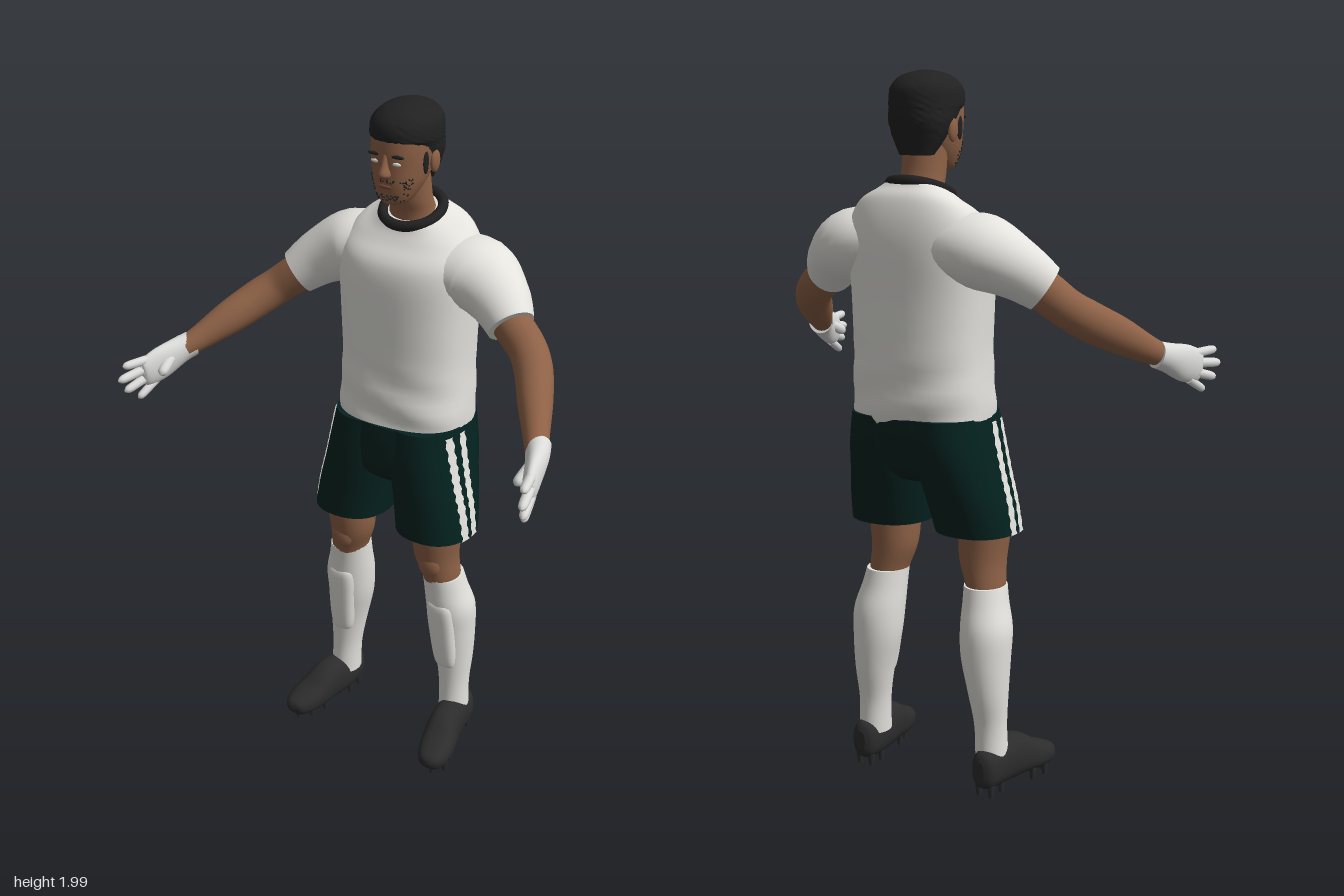
import * as THREE from 'three';
import { mergeGeometries } from 'three/addons/utils/BufferGeometryUtils.js';

const V = (x, y, z) => new THREE.Vector3(x, y, z);
const UP = V(0, 1, 0), SIDE = V(1, 0, 0);

// Smooth interpolation through rows of numbers
function sample(rows, t) {
  const f = t * (rows.length - 1), i = Math.min(Math.floor(f), rows.length - 2), s = f - i;
  const row = k => rows[Math.max(0, Math.min(rows.length - 1, k))];
  const [a, b, c, d] = [row(i - 1), row(i), row(i + 1), row(i + 2)];
  return b.map((_, k) => b[k] + 0.5 * s * (c[k] - a[k] +
    s * (2 * a[k] - 5 * b[k] + 4 * c[k] - d[k] + s * (3 * (b[k] - c[k]) + d[k] - a[k]))));
}

const pw = (v, n) => Math.sign(v) * Math.abs(v) ** (2 / n);

// Loft of rounded sections [x, y, z, radiusU, radiusV]; rings are level, or follow the path if ref is given
function loft(rows, { ref = null, n = 2, seg = 28, steps = 5, bend = null } = {}) {
  const count = (rows.length - 1) * steps, pos = [], idx = [];
  const at = t => { const r = sample(rows, t); return V(r[0], r[1], r[2]); };
  for (let i = 0; i <= count; i++) {
    const t = i / count, r = sample(rows, t), c = at(t);
    const d = ref ? at(Math.min(1, t + 0.01)).sub(at(Math.max(0, t - 0.01))).normalize() : UP;
    const u = (ref || SIDE).clone().addScaledVector(d, -d.dot(ref || SIDE)).normalize();
    const v = d.clone().cross(u);
    for (let j = 0; j < seg; j++) {
      const a = j / seg * Math.PI * 2;
      const p = c.clone().addScaledVector(u, Math.max(r[3], 0.001) * pw(Math.cos(a), n))
        .addScaledVector(v, Math.max(r[4], 0.001) * pw(Math.sin(a), n));
      if (bend) bend(p);
      pos.push(p.x, p.y, p.z);
      const k = i * seg + j, m = i * seg + (j + 1) % seg;
      if (i < count) idx.push(k, m, k + seg, m, m + seg, k + seg);
    }
  }
  // End caps with their own vertices
  for (const end of [0, count]) {
    const base = pos.length / 3, mid = V(0, 0, 0);
    for (let j = 0; j < seg; j++) {
      const p = V(...pos.slice((end * seg + j) * 3, (end * seg + j) * 3 + 3));
      mid.addScaledVector(p, 1 / seg);
      pos.push(p.x, p.y, p.z);
    }
    pos.push(mid.x, mid.y, mid.z);
    for (let j = 0; j < seg; j++) {
      const a = base + j, b = base + (j + 1) % seg;
      idx.push(...(end ? [a, b, base + seg] : [b, a, base + seg]));
    }
  }
  const g = new THREE.BufferGeometry();
  g.setAttribute('position', new THREE.Float32BufferAttribute(pos, 3));
  g.setIndex(idx);
  g.computeVertexNormals();
  return g;
}

function mirrored(geo) {
  const g = geo.clone().scale(-1, 1, 1), ix = g.index.array;
  for (let i = 0; i < ix.length; i += 3) [ix[i], ix[i + 1]] = [ix[i + 1], ix[i]];
  g.computeVertexNormals();
  return g;
}

const ball = (x, y, z, a, b, c) => new THREE.SphereGeometry(1, 20, 14).scale(a, b, c).translate(x, y, z);

export function createModel() {
  const group = new THREE.Group();
  const mat = (name, color, side = THREE.FrontSide) => {
    const m = new THREE.MeshStandardMaterial({ color, side });
    m.name = name;
    return m;
  };
  const white = mat('white cloth', 0xe3e2dd, THREE.DoubleSide), skin = mat('skin', 0x8d6146);
  const green = mat('dark green cloth', 0x04221f), black = mat('black hair', 0x212121);
  const boot = mat('boot leather', 0x2c2c2d), glove = mat('glove', 0xdadad9), lip = mat('lips', 0x74493a);
  const add = (name, geo, m) => {
    const mesh = new THREE.Mesh(geo, m);
    mesh.name = name;
    group.add(mesh);
  };
  const pair = (name, geo, m) => {
    add(name + 'Left', geo, m);
    add(name + 'Right', mirrored(geo), m);
  };

  // Shirt, with folds near the hem and a neckline that dips at the front
  add('shirt', loft([
    [0, 1.06, -0.175, 0.195, 0.15], [0, 1.12, -0.178, 0.197, 0.152], [0, 1.25, -0.183, 0.192, 0.148],
    [0, 1.4, -0.183, 0.198, 0.146], [0, 1.52, -0.187, 0.205, 0.145], [0, 1.585, -0.195, 0.2, 0.132],
    [0, 1.635, -0.2, 0.168, 0.108], [0, 1.665, -0.197, 0.118, 0.086], [0, 1.685, -0.195, 0.086, 0.076],
  ], {
    n: 2.5, seg: 48, bend: p => {
      p.z += 0.004 * Math.sin(55 * p.y + 14 * p.x) * THREE.MathUtils.smoothstep(1.32 - p.y, 0, 0.15);
      p.y -= (p.z + 0.19) * 0.35 * THREE.MathUtils.smoothstep(p.y, 1.55, 1.68);
    },
  }), white);
  pair('sleeve', loft([
    [0.11, 1.54, -0.2, 0.085, 0.115], [0.2, 1.53, -0.205, 0.1, 0.118],
    [0.285, 1.488, -0.175, 0.082, 0.09], [0.347, 1.437, -0.135, 0.066, 0.066],
  ], { ref: UP }), white);
  const ring = [];
  for (let i = 0; i < 16; i++) {
    const a = i / 16 * Math.PI * 2;
    ring.push(V(0.084 * Math.cos(a), 1.684 - 0.028 * Math.sin(a), -0.193 + 0.077 * Math.sin(a)));
  }
  add('collar', new THREE.TubeGeometry(new THREE.CatmullRomCurve3(ring, true), 48, 0.015, 8, true), black);

  // Arms and gloved hands
  pair('arm', loft([
    [0.31, 1.465, -0.15, 0.052, 0.052], [0.36, 1.425, -0.14, 0.055, 0.054], [0.41, 1.385, -0.12, 0.053, 0.053],
    [0.452, 1.35, -0.075, 0.054, 0.052], [0.498, 1.308, 0, 0.05, 0.047],
    [0.543, 1.266, 0.075, 0.038, 0.036], [0.572, 1.242, 0.125, 0.031, 0.03],
  ], { ref: UP }), skin);
  pair('palm', loft([
    [0.562, 1.248, 0.1, 0.037, 0.035], [0.58, 1.236, 0.135, 0.041, 0.031], [0.6, 1.215, 0.195, 0.051, 0.024],
    [0.616, 1.2, 0.245, 0.045, 0.018], [0.62, 1.197, 0.258, 0.03, 0.008],
  ], { ref: UP }), glove);
  const finger = (a, b, r) => {
    const p = s => a.map((v, k) => v + (b[k] - v) * s);
    return loft([[...p(0), r, r], [...p(0.5), r, r], [...p(0.88), r * 0.85, r * 0.85], [...p(1), 0.002, 0.002]],
      { ref: UP, seg: 10, steps: 4 });
  };
  pair('fingers', mergeGeometries([
    finger([0.612, 1.237, 0.225], [0.637, 1.24, 0.318], 0.013),
    finger([0.616, 1.212, 0.23], [0.643, 1.2, 0.335], 0.0135),
    finger([0.615, 1.187, 0.225], [0.638, 1.162, 0.317], 0.013),
    finger([0.608, 1.168, 0.21], [0.622, 1.13, 0.28], 0.012),
    finger([0.585, 1.24, 0.15], [0.572, 1.198, 0.235], 0.016),
  ]), glove);

  // Shorts with two side stripes on each leg
  const legRows = [
    [0.14, 0.755, -0.12, 0.115, 0.12], [0.128, 0.84, -0.135, 0.115, 0.132], [0.113, 0.92, -0.149, 0.112, 0.146],
    [0.1, 1, -0.163, 0.11, 0.156], [0.087, 1.085, -0.172, 0.108, 0.154],
  ];
  pair('shortsLeg', loft(legRows, { n: 2.3, seg: 36 }), green);
  add('shortsSeat', loft([
    [0, 0.9, -0.15, 0.1, 0.1], [0, 0.94, -0.152, 0.14, 0.138], [0, 1.02, -0.166, 0.16, 0.156],
    [0, 1.085, -0.172, 0.165, 0.155],
  ], { n: 2.5 }), green);
  const stripe = (top, bottom) => {
    const g = new THREE.PlaneGeometry(1, 1, 4, 40), p = g.attributes.position;
    for (let i = 0; i < p.count; i++) {
      const t = p.getY(i) + 0.5, [cx, cy, cz, rx, rz] = sample(legRows, t * 0.93 + 0.005);
      const z = bottom + (top - bottom) * t + p.getX(i) * 0.027 + 0.003 * Math.sin(t * 61 + p.getX(i) * 3);
      const x = cx + rx * Math.max(0, 1 - Math.abs((z - cz) / rz) ** 2.3) ** (1 / 2.3) + 0.005;
      p.setXYZ(i, x, cy, z);
    }
    g.computeVertexNormals();
    return g;
  };
  pair('frontStripe', stripe(-0.09, -0.088), white);
  pair('backStripe', stripe(-0.145, -0.13), white);

  // Legs, socks and shin guards
  pair('leg', loft([
    [0.166, 0.55, -0.125, 0.05, 0.058], [0.161, 0.6, -0.118, 0.055, 0.063], [0.148, 0.67, -0.11, 0.065, 0.072],
    [0.15, 0.76, -0.107, 0.072, 0.083], [0.148, 0.84, -0.12, 0.078, 0.088],
  ]), skin);
  pair('kneecap', ball(0.153, 0.655, -0.06, 0.037, 0.045, 0.024), skin);
  pair('sock', loft([
    [0.2, 0.1, -0.145, 0.045, 0.052], [0.197, 0.2, -0.148, 0.046, 0.048], [0.192, 0.3, -0.154, 0.057, 0.06],
    [0.183, 0.4, -0.152, 0.07, 0.072], [0.18, 0.48, -0.145, 0.073, 0.077],
    [0.17, 0.55, -0.132, 0.064, 0.07], [0.164, 0.598, -0.123, 0.059, 0.067],
  ]), white);
  pair('shinGuard', loft([
    [0.19, 0.27, -0.125, 0.02, 0.02], [0.188, 0.29, -0.122, 0.036, 0.036], [0.182, 0.4, -0.112, 0.044, 0.042],
    [0.176, 0.5, -0.105, 0.044, 0.042], [0.174, 0.52, -0.108, 0.02, 0.02],
  ], { n: 3 }), white);

  // Boots with studs
  pair('boot', loft([
    [0.203, 0.08, -0.218, 0.014, 0.03], [0.204, 0.08, -0.2, 0.036, 0.055], [0.207, 0.08, -0.14, 0.045, 0.06],
    [0.217, 0.085, -0.07, 0.048, 0.066], [0.232, 0.066, 0, 0.052, 0.047], [0.243, 0.056, 0.05, 0.047, 0.036],
    [0.248, 0.051, 0.083, 0.032, 0.026], [0.249, 0.048, 0.096, 0.008, 0.008],
  ], { ref: SIDE, n: 2.4 }), boot);
  const studs = [[0.185, -0.19], [0.225, -0.19], [0.185, -0.14], [0.228, -0.14],
    [0.2, -0.02], [0.262, -0.02], [0.217, 0.03], [0.273, 0.03], [0.247, 0.06]];
  pair('studs', mergeGeometries(studs.map(([x, z]) =>
    new THREE.CylinderGeometry(0.011, 0.007, 0.035, 8).translate(x, 0.0175, z))), boot);

  // Head and neck
  add('neck', loft([[0, 1.6, -0.205, 0.085, 0.07], [0, 1.68, -0.195, 0.067, 0.06],
    [0, 1.73, -0.178, 0.062, 0.058], [0, 1.82, -0.165, 0.06, 0.06]]), skin);
  const headRows = [
    [0, 1.728, -0.1, 0.022, 0.026], [0, 1.742, -0.108, 0.045, 0.048], [0, 1.785, -0.126, 0.067, 0.076],
    [0, 1.835, -0.142, 0.079, 0.093], [0, 1.885, -0.152, 0.084, 0.104], [0, 1.93, -0.157, 0.08, 0.1],
    [0, 1.97, -0.16, 0.045, 0.06],
  ];
  add('head', loft(headRows, { n: 2.2 }), skin);
  const face = (x, t) => {
    const [, y, cz, rx, rz] = sample(headRows, t);
    return V(x, y, cz + rz * Math.max(0, 1 - Math.abs(x / rx) ** 2.2) ** (1 / 2.2));
  };
  add('nose', loft([[0, 1.808, -0.058, 0.013, 0.016], [0, 1.82, -0.052, 0.018, 0.026],
    [0, 1.845, -0.052, 0.01, 0.016], [0, 1.875, -0.056, 0.008, 0.008]], { seg: 14 }), skin);
  pair('ear', ball(0.084, 1.84, -0.165, 0.01, 0.032, 0.02), skin);
  const eye = face(0.032, 3.3 / 6), brow = face(0.034, 3.7 / 6);
  pair('eye', ball(eye.x, eye.y, eye.z, 0.015, 0.005, 0.004), white);
  pair('eyebrow', ball(brow.x, brow.y, brow.z, 0.022, 0.005, 0.006).rotateZ(0), black);
  const mouth = face(0, 2 / 6);
  add('mouth', ball(0, mouth.y, mouth.z, 0.022, 0.005, 0.004), lip);

  // Short curly hair, lower at the back
  add('hair', loft([
    [0, 1.775, -0.21, 0.05, 0.035], [0, 1.82, -0.198, 0.074, 0.058], [0, 1.86, -0.186, 0.088, 0.083],
    [0, 1.89, -0.172, 0.091, 0.1], [0, 1.91, -0.161, 0.093, 0.113], [0, 1.95, -0.162, 0.087, 0.109],
    [0, 1.98, -0.164, 0.058, 0.075], [0, 1.994, -0.165, 0.012, 0.015],
  ], {
    n: 2.1, seg: 64, steps: 6, bend: p => {
      const k = 1 + 0.022 * Math.sin(p.x * 330) * Math.sin(p.y * 350) * Math.sin(p.z * 310 + 1);
      p.x *= k;
      p.z = -0.165 + (p.z + 0.165) * k;
    },
  }), black);
  pair('sideburn', ball(0.08, 1.845, -0.125, 0.005, 0.032, 0.012), black);

  // Stubble scattered along the jaw and around the mouth
  let seed = 7;
  const rnd = () => (seed = (seed * 16807) % 2147483647) / 2147483647;
  const dots = [];
  while (dots.length < 90) {
    const t = 0.16 + rnd() * 0.25, x = (rnd() * 2 - 1) * 0.064;
    const p = face(x, t);
    const beard = t < 0.25 || Math.abs(x) > 0.04 || (t > 0.37 && Math.abs(x) < 0.028);
    if (beard && Math.abs(x) < sample(headRows, t)[3] * 0.98)
      dots.push(new THREE.IcosahedronGeometry(0.0028, 0).translate(p.x, p.y, p.z));
  }
  add('stubble', mergeGeometries(dots), black);
  return group;
}
